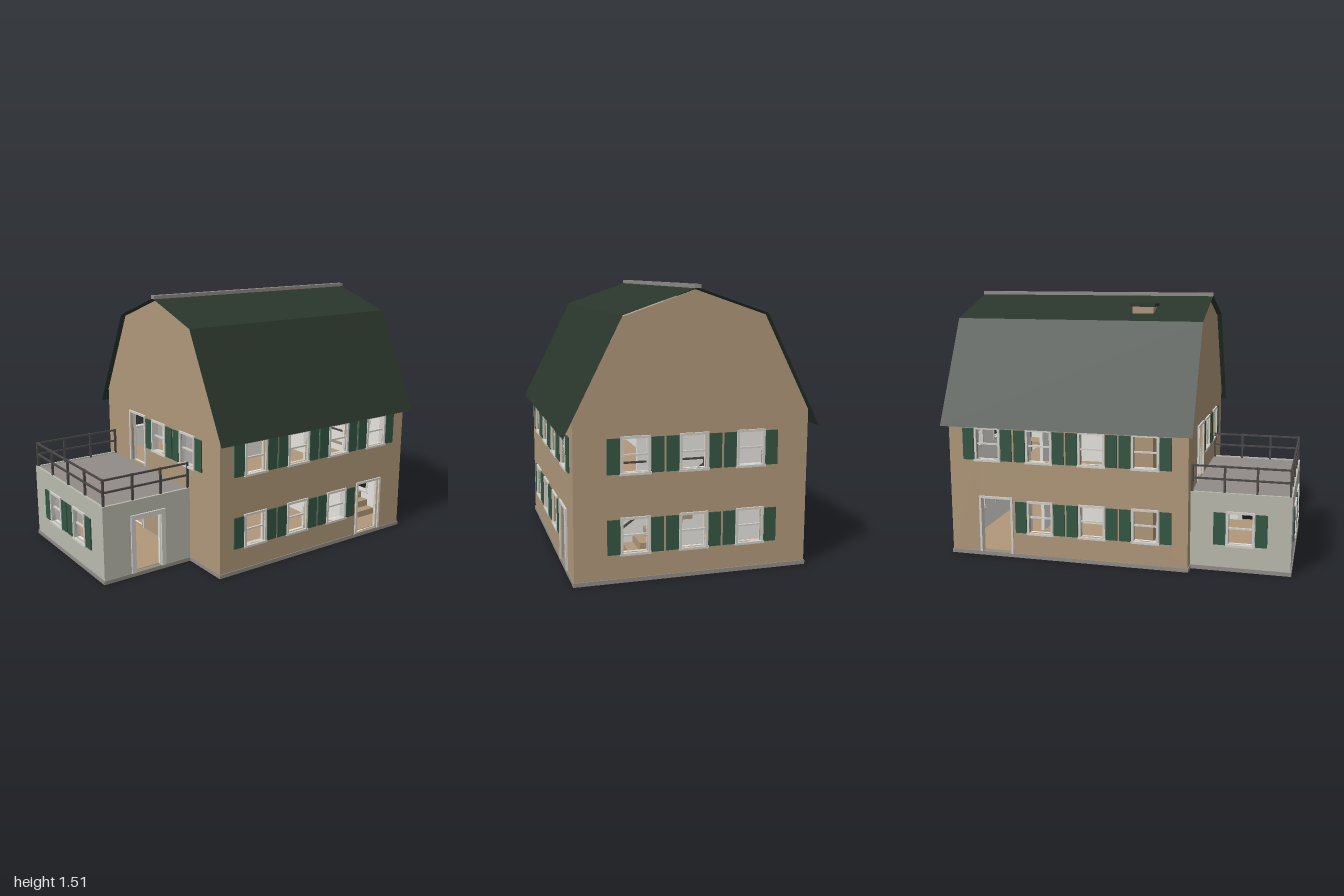
import * as THREE from 'three';

const mat = (name, color, side = THREE.FrontSide) => {
  const m = new THREE.MeshStandardMaterial({ color, side });
  m.name = name;
  return m;
};

export function createModel() {
  const tan = mat('tan wall', 0xb0987a);
  const stone = mat('pale grey annex', 0xb9baaf);
  const roofGreen = mat('dark green roof', 0x2a362b, THREE.DoubleSide);
  const shutterGreen = mat('green shutter', 0x345643);
  const trim = mat('light trim', 0xd2d0ca);
  const plaster = mat('interior plaster', 0xe6e4de);
  const slab = mat('grey slab', 0x918c86);
  const iron = mat('dark railing', 0x4c4a48);

  const house = new THREE.Group();
  house.name = 'house';

  const add = (parent, name, geo, material) => {
    const m = new THREE.Mesh(geo, material);
    m.name = name;
    parent.add(m);
    return m;
  };
  // Box given by its limits on each axis
  const box = (parent, name, material, x0, x1, y0, y1, z0, z1) => {
    const m = add(parent, name, new THREE.BoxGeometry(x1 - x0, y1 - y0, z1 - z0), material);
    m.position.set((x0 + x1) / 2, (y0 + y1) / 2, (z0 + z1) / 2);
    return m;
  };
  // Square bar between two points
  const bar = (parent, name, material, a, b, t) => {
    const p = new THREE.Vector3(...a), q = new THREE.Vector3(...b);
    const m = add(parent, name, new THREE.BoxGeometry(t, t, p.distanceTo(q)), material);
    m.position.copy(p).lerp(q, 0.5);
    m.lookAt(q);
    return m;
  };
  const shapeOf = (pts, openings) => {
    const s = new THREE.Shape(pts.map(([x, y]) => new THREE.Vector2(x, y)));
    for (const { u, y0, w, h } of openings) {
      s.holes.push(new THREE.Path([[-1, 0], [-1, 1], [1, 1], [1, 0]]
        .map(([i, j]) => new THREE.Vector2(u + i * w / 2, y0 + j * h))));
    }
    return s;
  };

  // Openings: u is the position along the wall, y0 the bottom
  const win = (u, yc) => ({ u, y0: yc - 0.0875, w: 0.13, h: 0.175, c: 0.0125, window: true });
  const door = (u, y0, w, h, c = 0.013) => ({ u, y0, w, h, c });

  // Wall with outer skin, plaster lining, casings, sashes and shutters; local +z is outward
  const wall = (name, pts, openings, skin, pos, rotY) => {
    const g = new THREE.Group();
    g.name = name;
    g.position.set(...pos);
    g.rotation.y = rotY;
    house.add(g);
    const layer = (n, p, m, z) => {
      const geo = new THREE.ExtrudeGeometry(shapeOf(p, openings), { depth: 0.015, bevelEnabled: false });
      add(g, n, geo.translate(0, 0, z), m);
    };
    layer('outerWall', pts, skin, -0.015);
    layer('innerLining', pts.map(([u, y]) => [u - Math.sign(u) * 0.016, y > 0.1 ? y - 0.015 : y]), plaster, -0.03);
    for (const { u, y0, w, h, c, window } of openings) {
      const l = u - w / 2, r = u + w / 2, t = y0 + h;
      box(g, 'casingSide', trim, l - c, l, y0, t, -0.032, 0.01);
      box(g, 'casingSide', trim, r, r + c, y0, t, -0.032, 0.01);
      box(g, 'casingTop', trim, l - c, r + c, t, t + c, -0.032, 0.01);
      if (!window) continue;
      box(g, 'windowSill', trim, l - c - 0.004, r + c + 0.004, y0 - c, y0, -0.032, 0.013);
      box(g, 'sashRail', trim, l, r, y0 + h * 0.48, y0 + h * 0.53, -0.018, -0.006);
      for (const s of [-1, 1]) {
        const x = u + s * 0.115;
        box(g, 'shutter', shutterGreen, x - 0.033, x + 0.033, y0 - 0.005, t + 0.003, 0, 0.008);
      }
    }
  };

  // Main house: foundation and walls
  const LOW = 0.244, HIGH = 0.662, X0 = -0.43, X1 = 0.97, Z = 0.63, MID = 0.27;
  box(house, 'foundation', slab, X0 - 0.005, X1 + 0.005, 0, 0.022, -Z - 0.005, Z + 0.005);
  const columns = [-0.19, 0.117, 0.425, 0.735].map(x => x - MID);
  const longWall = [[-0.7, 0.02], [0.7, 0.02], [0.7, 0.852], [-0.7, 0.852]];
  for (const s of [1, -1]) {
    const openings = columns.map(u => win(u * s, HIGH));
    columns.slice(0, 3).forEach(u => openings.push(win(u * s, LOW)));
    openings.push(door((0.692 - MID) * s, 0.022, 0.18, 0.322));
    wall(s > 0 ? 'frontWall' : 'backWall', longWall, openings, tan, [MID, 0, s * Z], s > 0 ? 0 : Math.PI);
  }
  const gable = [[-Z, 0.02], [Z, 0.02], [Z, 0.852], [0.375, 1.352], [0, 1.48], [-0.375, 1.352], [-Z, 0.852]];
  const sideCols = [-0.31, 0, 0.31];
  wall('rightWall', gable, sideCols.flatMap(u => [win(u, LOW), win(u, HIGH)]), tan, [X1, 0, 0], Math.PI / 2);
  wall('leftWall', gable, [win(0, HIGH), win(0.31, HIGH), door(-0.25, 0.445, 0.17, 0.31), door(-0.29, 0.022, 0.17, 0.322)],
    tan, [X0, 0, 0], -Math.PI / 2);

  // Gambrel roof sheet, ridge cap and chimney
  const section = [[0.68, 0.767], [0.38, 1.36], [0, 1.49], [-0.38, 1.36], [-0.68, 0.767]];
  const tri = [];
  for (let i = 0; i < 4; i++) {
    const [za, ya] = section[i], [zb, yb] = section[i + 1];
    const a = [-0.457, ya, za], b = [1, ya, za], c = [1, yb, zb], d = [-0.457, yb, zb];
    tri.push(...a, ...b, ...c, ...a, ...c, ...d);
  }
  const roofGeo = new THREE.BufferGeometry();
  roofGeo.setAttribute('position', new THREE.Float32BufferAttribute(tri, 3));
  roofGeo.computeVertexNormals();
  add(house, 'roof', roofGeo, roofGreen);
  box(house, 'ridgeCap', slab, -0.457, 1, 1.487, 1.507, -0.018, 0.018);
  box(house, 'chimney', tan, -0.155, -0.03, 0.022, 1.435, -0.275, -0.173);
  box(house, 'chimneyCap', roofGreen, -0.166, -0.02, 1.434, 1.452, -0.284, -0.163);

  // Interior floors, partitions and stairs
  box(house, 'groundFloor', tan, -0.4, 0.94, 0.021, 0.025, -0.6, 0.6);
  const upper = new THREE.ExtrudeGeometry(
    shapeOf([[-0.4, -0.6], [0.94, -0.6], [0.94, 0.6], [-0.4, 0.6]], [{ u: 0.863, y0: -0.45, w: 0.15, h: 0.57 }]),
    { depth: 0.02, bevelEnabled: false });
  add(house, 'upperFloor', upper.rotateX(-Math.PI / 2).translate(0, 0.42, 0), tan);
  box(house, 'upperCeiling', plaster, -0.4, 0.94, 0.82, 0.835, -0.6, 0.6);
  for (const [y0, y1] of [[0.025, 0.42], [0.44, 0.82]]) {
    box(house, 'longPartition', plaster, -0.4, 0.57, y0, y1, -0.01, 0.01);
    box(house, 'crossPartition', plaster, 0.56, 0.58, y0, y1, -0.2, y0 > 0.4 ? 0.2 : 0.6);
    box(house, 'crossPartition', plaster, 0.56, 0.58, y0, y1, -0.6, -0.4);
  }
  for (let i = 0; i < 10; i++) {
    const z = 0.45 - i * 0.057, y = 0.022 + (i + 1) * 0.0418;
    box(house, 'stairStep', tan, 0.79, 0.938, Math.max(0.022, y - 0.06), y, z - 0.057, z);
  }
  bar(house, 'stairRail', iron, [0.785, 0.145, 0.45], [0.785, 0.55, -0.12], 0.01);
  bar(house, 'stairPost', iron, [0.785, 0.022, 0.45], [0.785, 0.15, 0.4501], 0.01);
  bar(house, 'landingRail', iron, [0.785, 0.58, 0.45], [0.785, 0.58, -0.12], 0.01);
  for (const z of [0.45, 0.165, -0.12]) box(house, 'landingPost', iron, 0.78, 0.79, 0.44, 0.58, z - 0.005, z + 0.005);

  // Annex: foundation, walls and terrace
  const AX = -0.985, AB = -0.56, AF = 0.33, ac = (AX + X0) / 2, az = (AB + AF) / 2;
  box(house, 'annexFoundation', slab, AX - 0.005, X0 - 0.006, 0, 0.022, AB - 0.005, AF + 0.005);
  const rect = half => [[-half, 0.02], [half, 0.02], [half, 0.445], [-half, 0.445]];
  const halfX = (X0 - AX) / 2 - 0.001, halfZ = (AF - AB) / 2;
  wall('annexFrontWall', rect(halfX), [door(-0.708 - ac, 0.022, 0.165, 0.312, 0.027)], stone, [ac, 0, AF], 0);
  wall('annexBackWall', rect(halfX), [win(ac + 0.708, LOW)], stone, [ac, 0, AB], Math.PI);
  wall('annexLeftWall', rect(halfZ), [win(-0.27 - az, LOW), win(0.04 - az, LOW)], stone, [AX, 0, az], -Math.PI / 2);
  box(house, 'annexFloor', tan, AX + 0.025, X0 - 0.001, 0.021, 0.025, AB + 0.025, AF - 0.025);
  box(house, 'terraceFloor', slab, AX + 0.014, X0 - 0.001, 0.42, 0.438, AB + 0.014, AF - 0.014);

  // Terrace railing on three sides
  const railing = (a, b, posts) => {
    for (const y of [0.52, 0.59]) bar(house, 'terraceRail', iron, [a[0], y, a[1]], [b[0], y, b[1]], 0.01);
    for (let i = 0; i <= posts; i++) {
      const t = i / posts, x = a[0] + (b[0] - a[0]) * t, z = a[1] + (b[1] - a[1]) * t;
      box(house, 'terracePost', iron, x - 0.006, x + 0.006, 0.435, 0.597, z - 0.006, z + 0.006);
    }
  };
  const rx = AX + 0.012, rf = AF - 0.012, rb = AB + 0.012, rh = X0 - 0.008;
  railing([rx, rf], [rh, rf], 3);
  railing([rx, rb], [rh, rb], 3);
  railing([rx, rb], [rx, rf], 4);

  return house;
}
